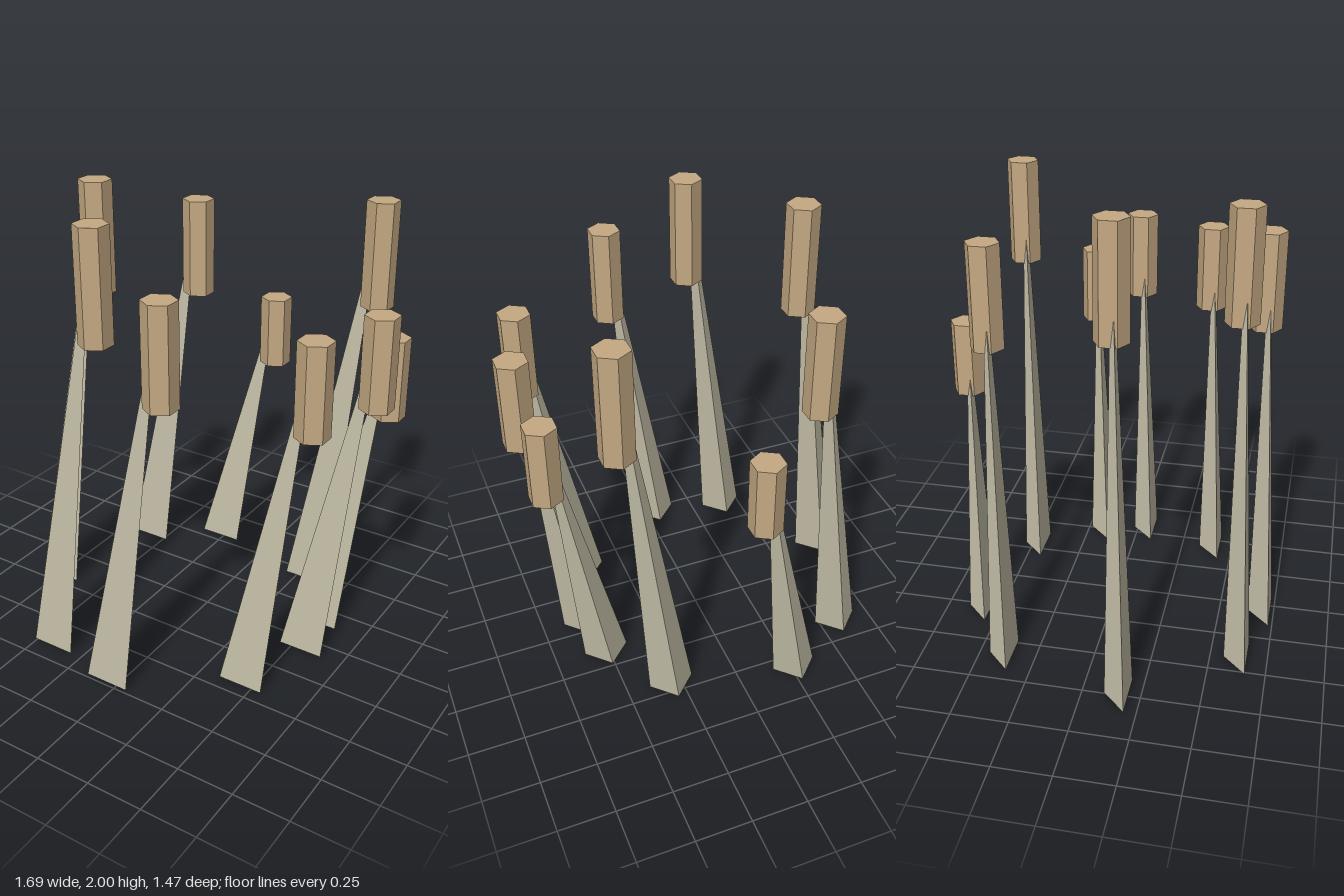
import * as THREE from 'three';

// Each reed: head x, head z, total height
const REEDS = [
  [-0.51, 0.08, 2.0], [-0.35, -0.47, 1.815], [-0.173, 0.545, 1.975],
  [-0.035, -0.665, 1.342], [0.185, 0.617, 1.765], [0.53, -0.55, 1.918],
  [0.68, 0.322, 1.613], [0.745, -0.252, 1.445], [0.783, -0.033, 1.62],
];

// Three-sided stalk of unit height, its foot set off from the tip at x = z = 0
function stalkGeometry() {
  const geo = new THREE.ConeGeometry(1, 1, 3);
  geo.rotateY(Math.PI);
  geo.scale(0.118, 1, 0.068);
  geo.translate(-0.236, 0.5, 0.082);
  // Lean: shift x and z in proportion to height
  const lean = new THREE.Matrix4().set(
    1, 0.236, 0, 0,
    0, 1, 0, 0,
    0, -0.082, 1, 0,
    0, 0, 0, 1);
  geo.applyMatrix4(lean);
  geo.computeVertexNormals();
  return geo;
}

export function createModel() {
  const group = new THREE.Group();
  group.name = 'reeds';
  const headMat = new THREE.MeshStandardMaterial({ color: 0xc4a882, flatShading: true });
  const stalkMat = new THREE.MeshStandardMaterial({ color: 0xc4bfa8, flatShading: true });

  const stalkGeo = stalkGeometry();
  // Six-sided head over the top quarter of the stalk
  const headGeo = new THREE.CylinderGeometry(0.073, 0.073, 0.248, 6);
  headGeo.translate(0, 0.876, 0);

  for (const [x, z, height] of REEDS) {
    const reed = new THREE.Group();
    reed.name = 'reed';
    const stalk = new THREE.Mesh(stalkGeo, stalkMat);
    stalk.name = 'stalk';
    stalk.scale.y = 0.999; // tip stays just under the head's cap
    const head = new THREE.Mesh(headGeo, headMat);
    head.name = 'head';
    reed.add(stalk, head);
    reed.position.set(x, 0, z);
    reed.scale.y = height;
    group.add(reed);
  }
  return group;
}
